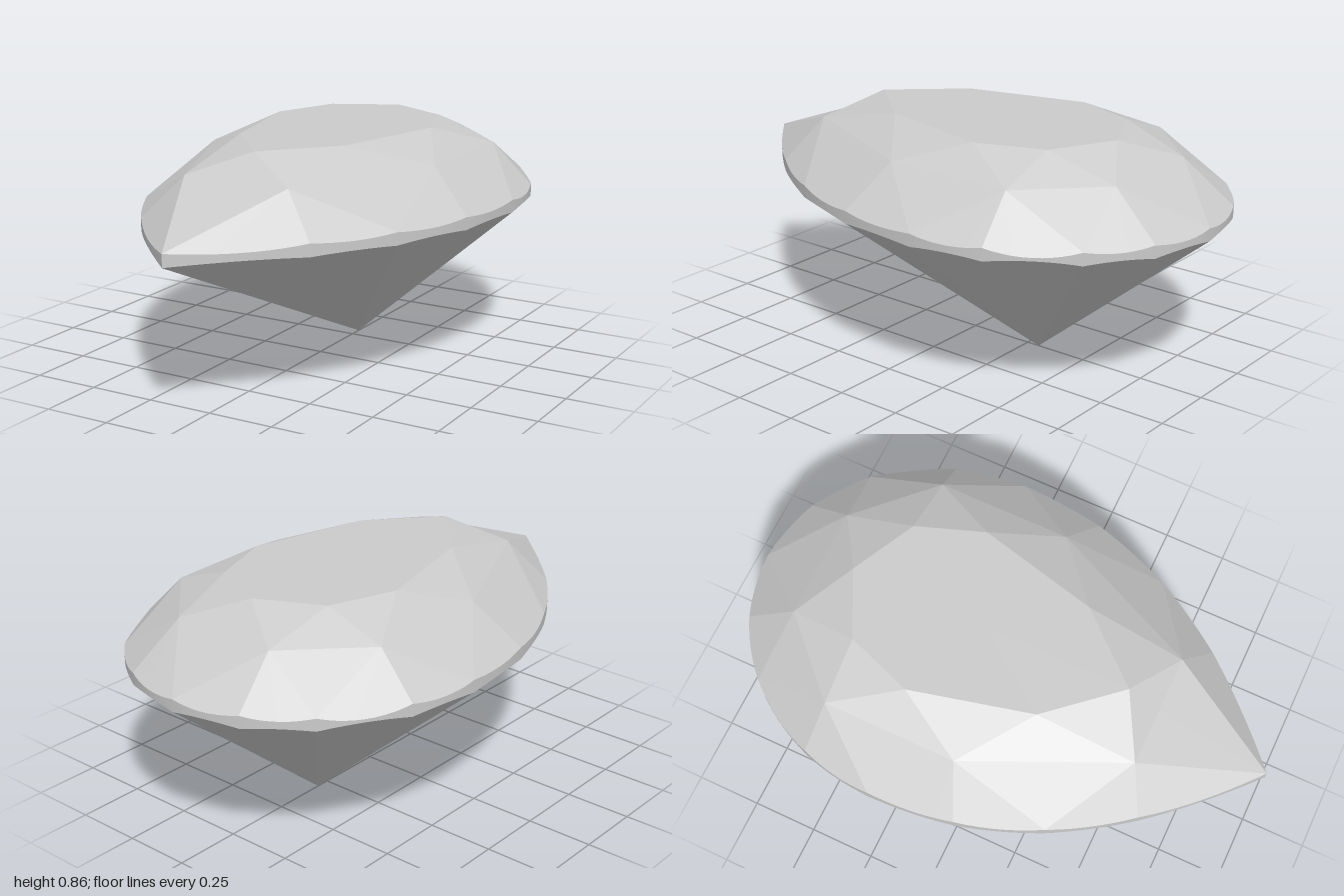
import * as THREE from 'three';
import { toCreasedNormals } from 'three/addons/utils/BufferGeometryUtils.js';

const V = (x, y, z) => new THREE.Vector3(x, y, z);
const CENTRE = V(0, 0.6, -0.15);
const STEPS = 10;
const CROWN_Y = 0.625, PAVILION_Y = 0.578, TABLE_Y = 0.86, MID_Y = 0.777;

// Half of the pear outline: t 0..1 is the round back, t 1..2 tapers to the front tip
function outline(t, y) {
  if (t <= 1) {
    const a = t * Math.PI / 2;
    return V(0.665 * Math.sin(a), y, -0.25 - 0.75 * Math.cos(a));
  }
  const u = t - 1;
  return V(0.665 * (1 - Math.pow(u, 2.2)), y, -0.25 + 1.25 * u);
}

// Adds a triangle facing outward, plus its mirror image across x = 0
function addTriangle(list, a, b, c) {
  const normal = b.clone().sub(a).cross(c.clone().sub(a));
  const mid = a.clone().add(b).add(c).divideScalar(3).sub(CENTRE);
  const [p, q, r] = normal.dot(mid) > 0 ? [a, b, c] : [a, c, b];
  list.push(p, q, r);
  list.push(...[p, r, q].map(v => V(-v.x, v.y, v.z)));
}

// Curved rim where the flat facet through apex and two girdle points meets the outline
function facetRim(apex, t0, t1, y) {
  const a = outline(t0, y), b = outline(t1, y);
  const n = b.clone().sub(a).cross(apex.clone().sub(a));
  const rim = [];
  for (let i = 0; i <= STEPS; i++) {
    const p = outline(t0 + (t1 - t0) * i / STEPS, y);
    p.y = a.y - (n.x * (p.x - a.x) + n.z * (p.z - a.z)) / n.y;
    rim.push(p);
  }
  return rim;
}

function makeMesh(name, points, material, smooth = false) {
  let geometry = new THREE.BufferGeometry().setFromPoints(points);
  geometry.computeVertexNormals();
  if (smooth) geometry = toCreasedNormals(geometry, 0.5);
  const mesh = new THREE.Mesh(geometry, material);
  mesh.name = name;
  return mesh;
}

export function createModel() {
  const gem = new THREE.Group();
  gem.name = 'pearCutGem';
  const material = new THREE.MeshStandardMaterial({ color: 0xcccccc });

  // Key points of one half, ordered from back to front
  const table = [[0, -0.62], [0.24, -0.5], [0.33, -0.25], [0.22, 0.2], [0, 0.45]]
    .map(([x, z]) => V(x, TABLE_Y, z));
  const mids = [[0.21, -0.76], [0.47, -0.5], [0.47, 0], [0.21, 0.57]]
    .map(([x, z]) => V(x, MID_Y, z));
  const girdleT = [0, 0.245, 0.475, 0.765, 1, 1.256, 1.5, 1.72, 2];
  const culet = V(0, 0, -0.3);

  const tableFace = [], stars = [], kites = [], upper = [], girdle = [], pavilion = [];

  // Flat table on top
  const tableCentre = V(0, TABLE_Y, -0.1);
  for (let i = 0; i < 4; i++) addTriangle(tableFace, tableCentre, table[i], table[i + 1]);

  // Star facets between the table edge and the mid points
  mids.forEach((m, i) => addTriangle(stars, table[i], table[i + 1], m));

  // Kite facets from each table corner down to the girdle
  table.forEach((corner, i) => {
    const foot = outline(girdleT[2 * i], CROWN_Y);
    const left = mids[i - 1] ?? V(-mids[0].x, MID_Y, mids[0].z);
    const right = mids[i] ?? V(-mids[3].x, MID_Y, mids[3].z);
    if (i === 0 || i === 4) {
      // End kites lie across the mirror plane, so only one half is added
      const own = i === 0 ? right : left;
      const axis = V(0, MID_Y, own.z);
      addTriangle(kites, corner, axis, own);
      addTriangle(kites, axis, own, foot);
    } else {
      addTriangle(kites, corner, left, right);
      addTriangle(kites, left, right, foot);
    }
  });

  // Girdle facets above, pavilion facets below and the scalloped band between them
  for (let k = 0; k < 8; k++) {
    const mid = mids[k >> 1];
    const top = facetRim(mid, girdleT[k], girdleT[k + 1], CROWN_Y);
    const low = facetRim(culet, girdleT[k], girdleT[k + 1], PAVILION_Y);
    for (let i = 0; i < STEPS; i++) {
      addTriangle(upper, mid, top[i], top[i + 1]);
      addTriangle(pavilion, culet, low[i], low[i + 1]);
      addTriangle(girdle, top[i], low[i], low[i + 1]);
      addTriangle(girdle, top[i], low[i + 1], top[i + 1]);
    }
  }

  gem.add(
    makeMesh('table', tableFace, material),
    makeMesh('starFacets', stars, material),
    makeMesh('kiteFacets', kites, material),
    makeMesh('upperGirdleFacets', upper, material),
    makeMesh('girdle', girdle, material, true),
    makeMesh('pavilion', pavilion, material)
  );
  return gem;
}
